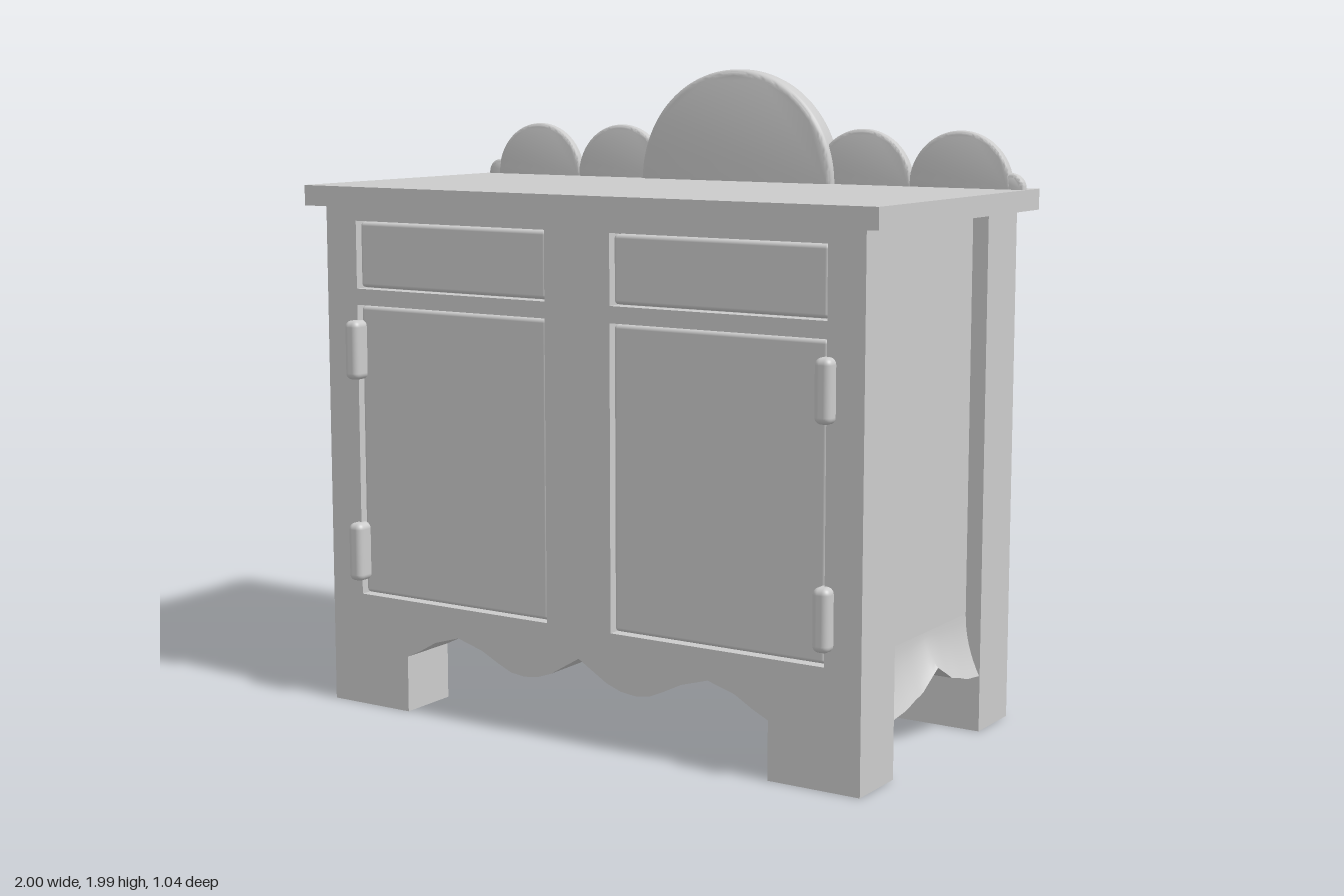
import * as THREE from 'three';
import { RoundedBoxGeometry } from 'three/addons/geometries/RoundedBoxGeometry.js';
import { toCreasedNormals } from 'three/addons/utils/BufferGeometryUtils.js';

const material = new THREE.MeshStandardMaterial({ color: 0xcccccc });

// Main dimensions
const W = 0.945, D = 0.483, POST = 0.2, TOP = 1.575;
const LEG = 0.65, PANEL_X = 0.895, FLOOR = 0.36;
const DOOR = { y0: 0.355, y1: 1.27 }, DRAWER = { y0: 1.32, y1: 1.53 };
const OPEN_X0 = 0.115, OPEN_X1 = 0.828, INSET = 0.014;

// Half of the scalloped lower edge, from the centre out to the leg
const scallop = [[0, 0.262], [0.1, 0.202], [0.15, 0.184], [0.2, 0.178], [0.25, 0.184], [0.3, 0.206],
  [0.36, 0.236], [0.45, 0.262], [0.54, 0.235], [0.6, 0.2], [LEG, 0.176]];
const sideScallop = [[0, 0.262], [0.06, 0.23], [0.1, 0.207], [0.14, 0.2], [0.2, 0.182], [0.29, 0.172]];

function heightAt(points, t) {
  const a = Math.abs(t);
  for (let i = 1; i < points.length; i++) {
    const [x0, y0] = points[i - 1], [x1, y1] = points[i];
    if (a <= x1) return y0 + (y1 - y0) * (a - x0) / (x1 - x0);
  }
  return points[points.length - 1][1];
}

function wallShape() {
  const s = new THREE.Shape();
  s.moveTo(-W, TOP);
  s.lineTo(-W, 0);
  s.lineTo(-LEG, 0);
  for (const [x, y] of [...scallop].reverse()) s.lineTo(-x, y);
  for (const [x, y] of scallop.slice(1)) s.lineTo(x, y);
  s.lineTo(LEG, 0);
  s.lineTo(W, 0);
  s.lineTo(W, TOP);
  s.closePath();
  return s;
}

function rectHole(x0, y0, x1, y1) {
  return new THREE.Path([[x0, y0], [x0, y1], [x1, y1], [x1, y0]].map(p => new THREE.Vector2(...p)));
}

// Upright half disc with a rounded rim
function domeGeometry(r, depth, bevel) {
  const s = new THREE.Shape();
  s.absarc(0, 0, r - bevel, 0, Math.PI, false);
  s.closePath();
  const g = new THREE.ExtrudeGeometry(s, {
    depth: depth - 2 * bevel, curveSegments: 40,
    bevelEnabled: true, bevelSize: bevel, bevelThickness: bevel, bevelSegments: 4,
  });
  g.translate(0, 0, -depth / 2 + bevel);
  return toCreasedNormals(g, 0.7);
}

// Skirt below a side panel: flares outward to the posts at its scalloped edge
function sideApronGeometry() {
  const g = new THREE.BoxGeometry(1, 1, 0.566, 1, 8, 24);
  const p = g.attributes.position;
  for (let i = 0; i < p.count; i++) {
    const v = p.getY(i) + 0.5, z = p.getZ(i);
    const bottom = heightAt(sideScallop, z);
    const x = p.getX(i) > 0 ? PANEL_X + (W - 0.002 - PANEL_X) * (1 - v) ** 2 : 0.78;
    p.setXYZ(i, x, bottom + (FLOOR - bottom) * v, z);
  }
  return toCreasedNormals(g.toNonIndexed(), 0.6);
}

export function createModel() {
  const model = new THREE.Group();
  const add = (name, geometry, x = 0, y = 0, z = 0) => {
    const mesh = new THREE.Mesh(geometry, material);
    mesh.name = name;
    mesh.position.set(x, y, z);
    model.add(mesh);
    return mesh;
  };
  const box = (name, w, h, d, x, y, z) => add(name, new THREE.BoxGeometry(w, h, d), x, y, z);

  // Front frame with openings, and plain back wall; both include legs
  const front = wallShape();
  for (const { y0, y1 } of [DOOR, DRAWER]) {
    front.holes.push(rectHole(OPEN_X0, y0, OPEN_X1, y1), rectHole(-OPEN_X1, y0, -OPEN_X0, y1));
  }
  const extrude = { depth: POST, bevelEnabled: false };
  add('frontFrame', new THREE.ExtrudeGeometry(front, extrude), 0, 0, D - POST);
  add('backWall', new THREE.ExtrudeGeometry(wallShape(), extrude), 0, 0, -D);

  // Carcass between the walls; its ends are the recessed side panels
  box('carcass', PANEL_X * 2, TOP - FLOOR, (D - POST) * 2 + 0.01, 0, (TOP + FLOOR) / 2, 0);

  // Worktop
  box('worktop', 2, 0.063, 1.04, 0, 1.605, 0);

  for (const side of [1, -1]) {
    const tag = side > 0 ? 'left' : 'right';
    const cx = side * (OPEN_X0 + OPEN_X1) / 2;

    // Door and drawer front, set slightly into the frame
    for (const [name, { y0, y1 }] of [['Door', DOOR], ['Drawer', DRAWER]]) {
      add(tag + name, new RoundedBoxGeometry(OPEN_X1 - OPEN_X0 - 0.008, y1 - y0 - 0.008, 0.1, 3, 0.012),
        cx, (y0 + y1) / 2, D - INSET - 0.05);
      // Backing that closes the gap round it
      box(tag + name + 'Backing', OPEN_X1 - OPEN_X0, y1 - y0, 0.1, cx, (y0 + y1) / 2, D - 0.1);
    }

    // Hinges on the outer door edge
    for (const y of [0.493, 1.13]) {
      add(tag + 'Hinge', new RoundedBoxGeometry(0.054, 0.184, 0.07, 4, 0.02), side * 0.83, y, 0.485);
    }

    // Side apron
    const apron = add(tag + 'SideApron', sideApronGeometry());
    if (side < 0) apron.rotation.y = Math.PI;

    // Small crest domes
    for (const x of [0.45, 0.782]) {
      add(tag + 'CrestDome', domeGeometry(0.172, 0.032, 0.012), side * x, 1.637, -0.432);
    }
    add(tag + 'CrestEnd', domeGeometry(0.045, 0.03, 0.012), side * 0.95, 1.64, -0.432);
  }

  // Large central crest
  add('centreCrest', domeGeometry(0.355, 0.075, 0.018), 0, 1.635, -0.432);

  return model;
}
